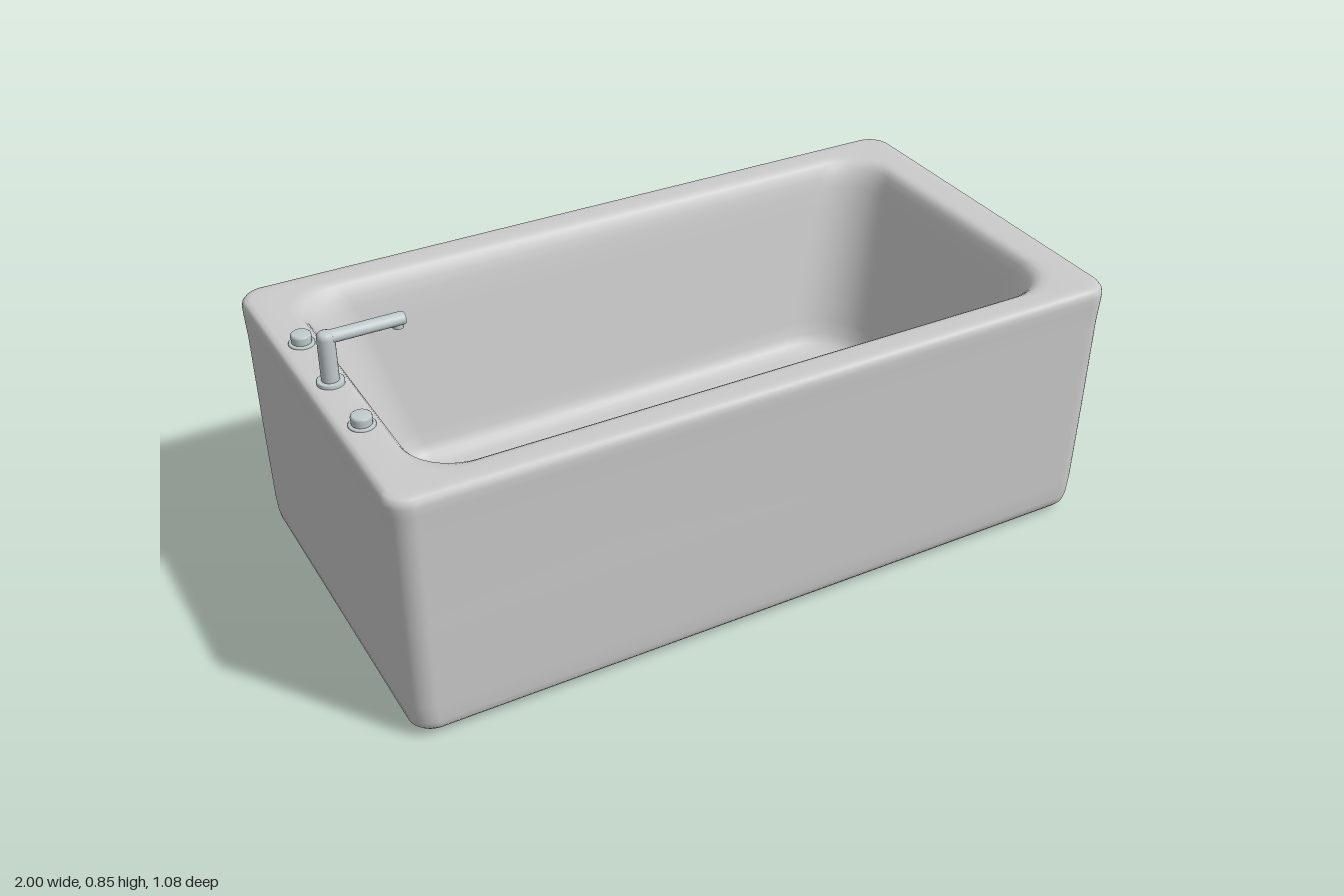
import * as THREE from 'three';

const enamel = new THREE.MeshStandardMaterial({ color: 0xcccccc });
const metal = new THREE.MeshStandardMaterial({ color: 0xc0cacc });

// Rounded rectangle ring in the xz plane
function ring(y, hx, hz, r, n = 10) {
  const pts = [];
  const corners = [[1, 1], [-1, 1], [-1, -1], [1, -1]];
  corners.forEach(([sx, sz], c) => {
    for (let i = 0; i <= n; i++) {
      const a = (c + i / n) * Math.PI / 2;
      pts.push([sx * (hx - r) + r * Math.cos(a), y, sz * (hz - r) + r * Math.sin(a)]);
    }
  });
  return pts;
}

// Skin a stack of rings, closing both ends with a centre point
function loft(sections, startY, endY) {
  const rings = sections.map(s => ring(...s));
  const n = rings[0].length;
  const pos = [...rings.flat(2), 0, startY, 0, 0, endY, 0];
  const start = rings.length * n, end = start + 1, last = start - n;
  const index = [];
  for (let i = 0; i < n; i++) {
    const j = (i + 1) % n;
    index.push(start, i, j, end, last + j, last + i);
    for (let k = 0; k < rings.length - 1; k++) {
      const a = k * n + i, b = k * n + j;
      index.push(a, a + n, b, b, a + n, b + n);
    }
  }
  const g = new THREE.BufferGeometry();
  g.setAttribute('position', new THREE.Float32BufferAttribute(pos, 3));
  g.setIndex(index);
  g.computeVertexNormals();
  return g;
}

function add(parent, name, geometry, material, x = 0, y = 0, z = 0) {
  const m = new THREE.Mesh(geometry, material);
  m.name = name;
  m.position.set(x, y, z);
  parent.add(m);
  return m;
}

const lathe = pts => new THREE.LatheGeometry(pts.map(p => new THREE.Vector2(...p)), 32);

export function createModel() {
  const model = new THREE.Group();
  model.name = 'bathtub';

  // Shell: underside, outer wall, rim, basin wall, floor: [y, half x, half z, corner radius]
  const shell = [
    [0.003, 0.5, 0.27, 0.04],
    [0.01, 0.9, 0.46, 0.04],
    [0.014, 0.955, 0.495, 0.05],
    [0.02, 0.972, 0.512, 0.055],
    [0.03, 0.98, 0.52, 0.06],
    [0.05, 0.984, 0.524, 0.06],
    [0.1, 0.987, 0.527, 0.06],
    [0.35, 0.992, 0.532, 0.06],
    [0.6, 0.996, 0.536, 0.06],
    [0.66, 0.999, 0.539, 0.06],
    [0.685, 1.0, 0.54, 0.06],
    [0.698, 0.998, 0.538, 0.06],
    [0.707, 0.992, 0.532, 0.058],
    [0.71, 0.98, 0.52, 0.055],
    [0.71, 0.96, 0.505, 0.06],
    [0.71, 0.915, 0.475, 0.125],
    [0.708, 0.9, 0.461, 0.13],
    [0.702, 0.889, 0.451, 0.135],
    [0.69, 0.88, 0.442, 0.135],
    [0.67, 0.871, 0.433, 0.14],
    [0.64, 0.862, 0.425, 0.145],
    [0.58, 0.848, 0.414, 0.15],
    [0.4, 0.805, 0.383, 0.16],
    [0.25, 0.769, 0.358, 0.17],
    [0.21, 0.757, 0.35, 0.17],
    [0.186, 0.743, 0.339, 0.17],
    [0.174, 0.724, 0.322, 0.165],
    [0.17, 0.695, 0.295, 0.15],
    [0.17, 0.6, 0.2, 0.1],
  ];
  add(model, 'tubShell', loft(shell, 0, 0.17), enamel);

  // Drain cover on the floor
  add(model, 'drain', lathe([[0.04, 0], [0.04, 0.003], [0.036, 0.006], [0, 0.007]]), metal, -0.557, 0.169, 0);

  // Overflow plate high on the front basin wall
  const overflow = add(model, 'overflowSlot', new THREE.CapsuleGeometry(0.011, 0.07, 6, 16), metal, 0, 0.65, 0.426);
  overflow.rotation.set(0.2, 0, Math.PI / 2);
  overflow.scale.z = 0.5;

  // Faucet: flange and column, spout, aerator
  const faucet = new THREE.Group();
  faucet.name = 'faucet';
  faucet.position.set(-0.935, 0.708, 0);
  model.add(faucet);
  add(faucet, 'column', lathe([
    [0.034, 0], [0.034, 0.01], [0.032, 0.012], [0.022, 0.012], [0.022, 0.012],
    [0.022, 0.125], [0.021, 0.133], [0.017, 0.139], [0.01, 0.142], [0, 0.142],
  ]), metal);
  const spout = add(faucet, 'spout', lathe([
    [0, 0], [0.016, 0], [0.016, 0], [0.016, 0.192], [0.014, 0.197], [0.014, 0.197], [0, 0.198],
  ]), metal, 0, 0.126, 0);
  spout.rotation.z = -Math.PI / 2;
  spout.scale.z = 1.15;
  add(faucet, 'aerator', new THREE.CylinderGeometry(0.014, 0.014, 0.016, 24), metal, 0.179, 0.112, 0);

  // Tap handles either side of the faucet
  for (const side of [-1, 1]) {
    add(model, side < 0 ? 'backHandle' : 'frontHandle', lathe([
      [0.033, 0], [0.033, 0.005], [0.031, 0.007], [0.025, 0.007], [0.025, 0.007],
      [0.026, 0.024], [0.025, 0.029], [0.021, 0.032], [0, 0.032],
    ]), metal, -0.935, 0.708, side * 0.207);
  }
  return model;
}
